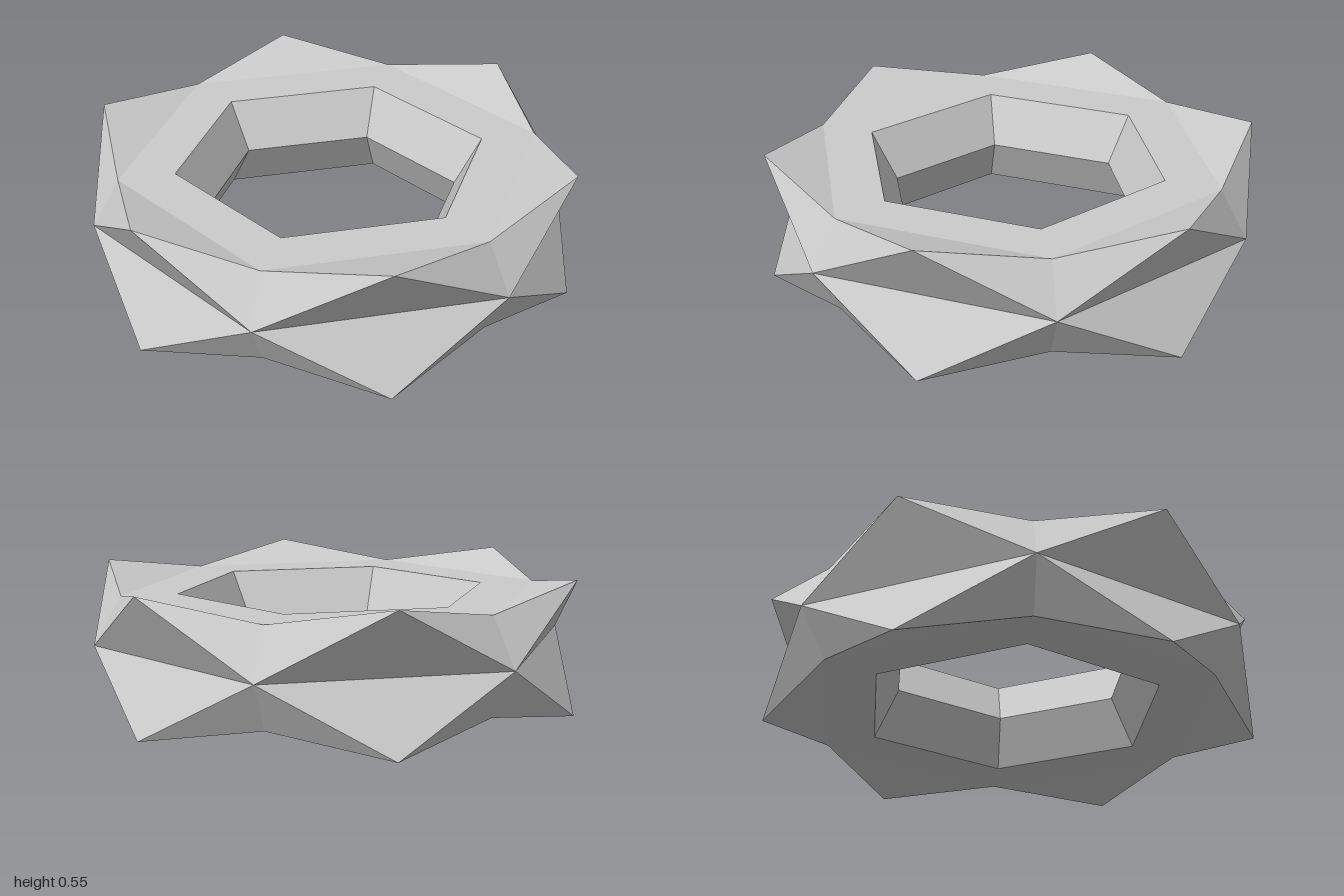
import * as THREE from 'three';

const SIDES = 6;
const MID = 0.274; // height of the plane of symmetry

// Point on a ring: step in sixths of a turn, height measured from the mid plane
const ringPoint = (step, radius, height) => {
  const a = (step * 2 * Math.PI) / SIDES;
  return [radius * Math.cos(a), MID + height, radius * Math.sin(a)];
};

// Builds a faceted mesh from one sector rule, repeated around and mirrored up/down
function facetedMesh(name, material, sector) {
  const positions = [];
  for (const s of [1, -1]) {
    for (let i = 0; i < SIDES; i++) {
      for (const face of sector(i, s)) {
        const f = s > 0 ? face : [...face].reverse();
        for (let k = 1; k < f.length - 1; k++) positions.push(...f[0], ...f[k], ...f[k + 1]);
      }
    }
  }
  const geometry = new THREE.BufferGeometry();
  geometry.setAttribute('position', new THREE.Float32BufferAttribute(positions, 3));
  geometry.computeVertexNormals();
  const mesh = new THREE.Mesh(geometry, material);
  mesh.name = name;
  return mesh;
}

export function createModel() {
  const group = new THREE.Group();
  group.name = 'facetedRing';
  const material = new THREE.MeshStandardMaterial({ color: 0xcccccc, flatShading: true });

  const tip = (i, s) => ringPoint(i, 1, s * MID);
  const notch = (i, s) => ringPoint(i, 0.866, s * 0.196);
  const girdle = (i) => ringPoint(i, 0.977, 0);
  const rim = (i, s) => ringPoint(i, 0.638, s * 0.196);
  const waist = (i) => ringPoint(i, 0.528, 0);

  // Outer band: triangles rising from the girdle to the pointed tips
  group.add(facetedMesh('outerFacets', material, (i, s) => {
    const a = i - 0.5, b = i + 0.5;
    return [
      [girdle(a), tip(i, s), girdle(b)],
      [girdle(a), notch(a, s), tip(i, s)],
      [girdle(b), tip(i, s), notch(b, s)],
    ];
  }));

  // Flat hexagonal faces with raised star points
  group.add(facetedMesh('starFaces', material, (i, s) => {
    const a = i - 0.5, b = i + 0.5;
    return [
      [tip(i, s), notch(a, s), notch(b, s)],
      [notch(a, s), rim(a, s), rim(b, s), notch(b, s)],
    ];
  }));

  // Hexagonal hole, narrowing to a waist
  group.add(facetedMesh('innerWall', material, (i, s) => {
    const a = i - 0.5, b = i + 0.5;
    return [[rim(a, s), waist(a), waist(b), rim(b, s)]];
  }));

  return group;
}
